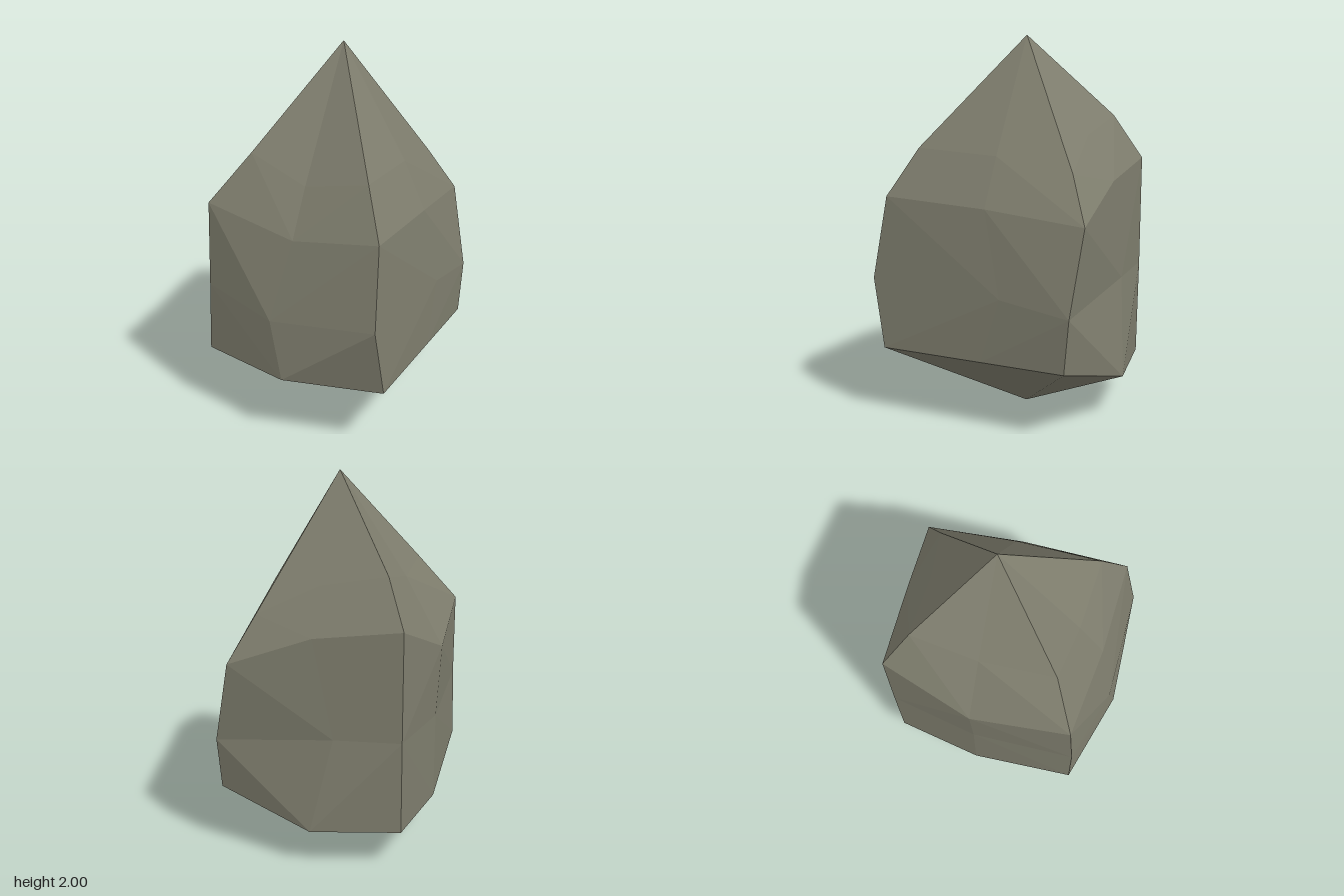
import * as THREE from 'three';

// Cross-sections from bottom to top, each running round the stone:
// front, front +x, +x side, back +x, back, back -x, -x side, front -x
const rings = [
  [[0, .36, .635], [.53, .36, .52], [.53, .36, -.06], [.53, .36, -.53], [.01, .22, -.635], [-.45, .23, -.53], [-.52, .22, -.06], [-.515, .36, .5]],
  [[-.08, .67, .605], [.51, .73, .592], [.53, .7, -.17], [.54, .645, -.56], [-.1, .73, -.575], [-.45, .74, -.54], [-.52, .7, -.06], [-.505, .745, .495]],
  [[.01, 1.1, .51], [.49, 1.17, .515], [.485, 1.145, -.065], [.45, 1.09, -.6], [.01, 1.26, -.567], [-.45, 1.33, -.545], [-.545, 1.1, -.065], [-.51, 1.2, .467]],
  [[.01, 1.345, .37], [.37, 1.42, .385], [.365, 1.4, -.07], [.33, 1.33, -.48], [.01, 1.49, -.42], [-.34, 1.565, -.42], [-.345, 1.465, -.065], [-.32, 1.465, .335]],
].map((ring) => ring.map((p) => new THREE.Vector3(...p)));
const tip = new THREE.Vector3(.01, 2, -.065);
const foot = new THREE.Vector3(.01, 0, -.065);

export function createModel() {
  const stone = new THREE.MeshStandardMaterial({ color: 0x7f7e6e });
  stone.name = 'warm grey stone';
  const group = new THREE.Group();
  group.name = 'pointedStone';

  const addPart = (name, triangles) => {
    const geometry = new THREE.BufferGeometry().setFromPoints(triangles);
    geometry.computeVertexNormals(); // unshared corners give flat facets
    const mesh = new THREE.Mesh(geometry, stone);
    mesh.name = name;
    group.add(mesh);
  };

  // Split each four-cornered facet along its outward-bulging diagonal
  const quad = (a, b, c, d) => {
    const plane = new THREE.Plane().setFromCoplanarPoints(a, b, c);
    return plane.distanceToPoint(d) <= 0 ? [a, b, c, a, c, d] : [a, b, d, b, c, d];
  };

  const sides = [], point = [], underside = [];
  for (let j = 0; j < 8; j++) {
    const k = (j + 1) % 8;
    for (let i = 0; i < 3; i++) {
      sides.push(...quad(rings[i][j], rings[i][k], rings[i + 1][k], rings[i + 1][j]));
    }
    point.push(rings[3][j], rings[3][k], tip);
    underside.push(foot, rings[0][k], rings[0][j]);
  }
  addPart('stoneSides', sides);
  addPart('stonePoint', point);
  addPart('stoneUnderside', underside);
  return group;
}
